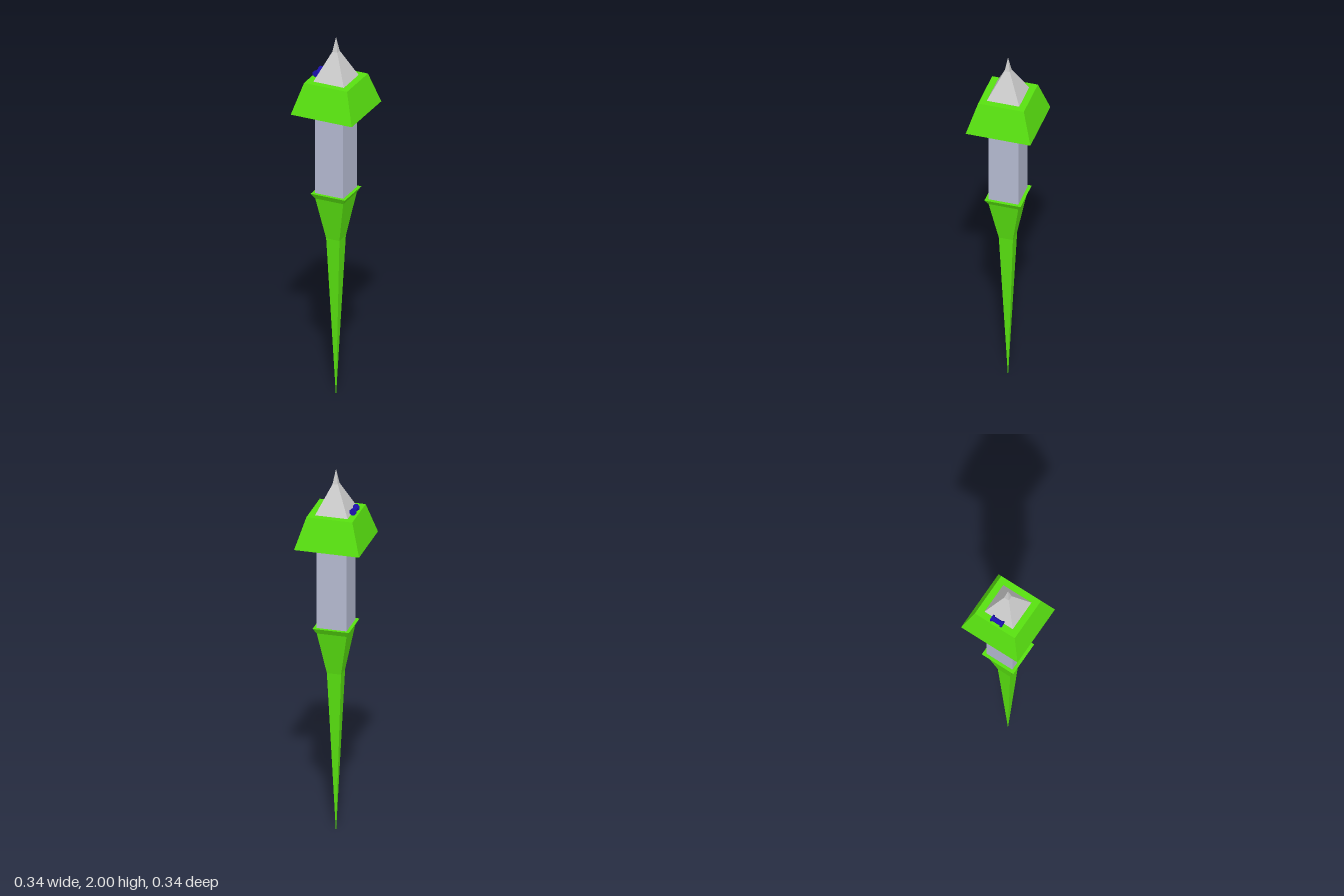
import * as THREE from 'three';

const GREEN = 0x58e010, GLASS = 0xb4b9d0, BLUE = 0x1c10b0, GREY = 0xcccccc;

// Revolved profile of [half width, height] pairs, listed from the bottom centre upward
function turned(name, color, profile, sides) {
  const corner = 1 / Math.cos(Math.PI / sides);
  const points = profile.map(([r, y]) => new THREE.Vector2(r * corner, y));
  const geometry = new THREE.LatheGeometry(points, sides, Math.PI / sides);
  const mesh = new THREE.Mesh(geometry, new THREE.MeshStandardMaterial({ color, flatShading: true }));
  mesh.name = name;
  return mesh;
}

export function createModel() {
  const group = new THREE.Group();
  group.name = 'gardenLight';

  // Ground stake with a flared collar at the top
  group.add(turned('stake', GREEN, [
    [0, 0], [0.037, 0.89], [0.078, 1.12], [0.095, 1.15], [0, 1.15],
  ], 4));

  // Square lamp body
  group.add(turned('lampBody', GLASS, [
    [0, 1.15], [0.078, 1.15], [0.078, 1.64], [0, 1.64],
  ], 4));

  // Overhanging shade with a shallow recess underneath
  group.add(turned('shade', GREEN, [
    [0, 1.635], [0.16, 1.635], [0.17, 1.605], [0.12, 1.77], [0, 1.77],
  ], 4));

  // Pointed finial
  group.add(turned('finial', GREY, [
    [0, 1.77], [0.085, 1.77], [0.014, 1.92], [0, 2],
  ], 4));

  // Small spool-shaped switch on the shade, lying along z
  const spool = turned('switch', BLUE, [
    [0, -0.033], [0.017, -0.033], [0.017, -0.026], [0.012, -0.024],
    [0.012, 0.024], [0.017, 0.026], [0.017, 0.033], [0, 0.033],
  ], 8);
  spool.rotation.x = Math.PI / 2;
  spool.position.set(-0.097, 1.787, 0);
  group.add(spool);

  return group;
}
